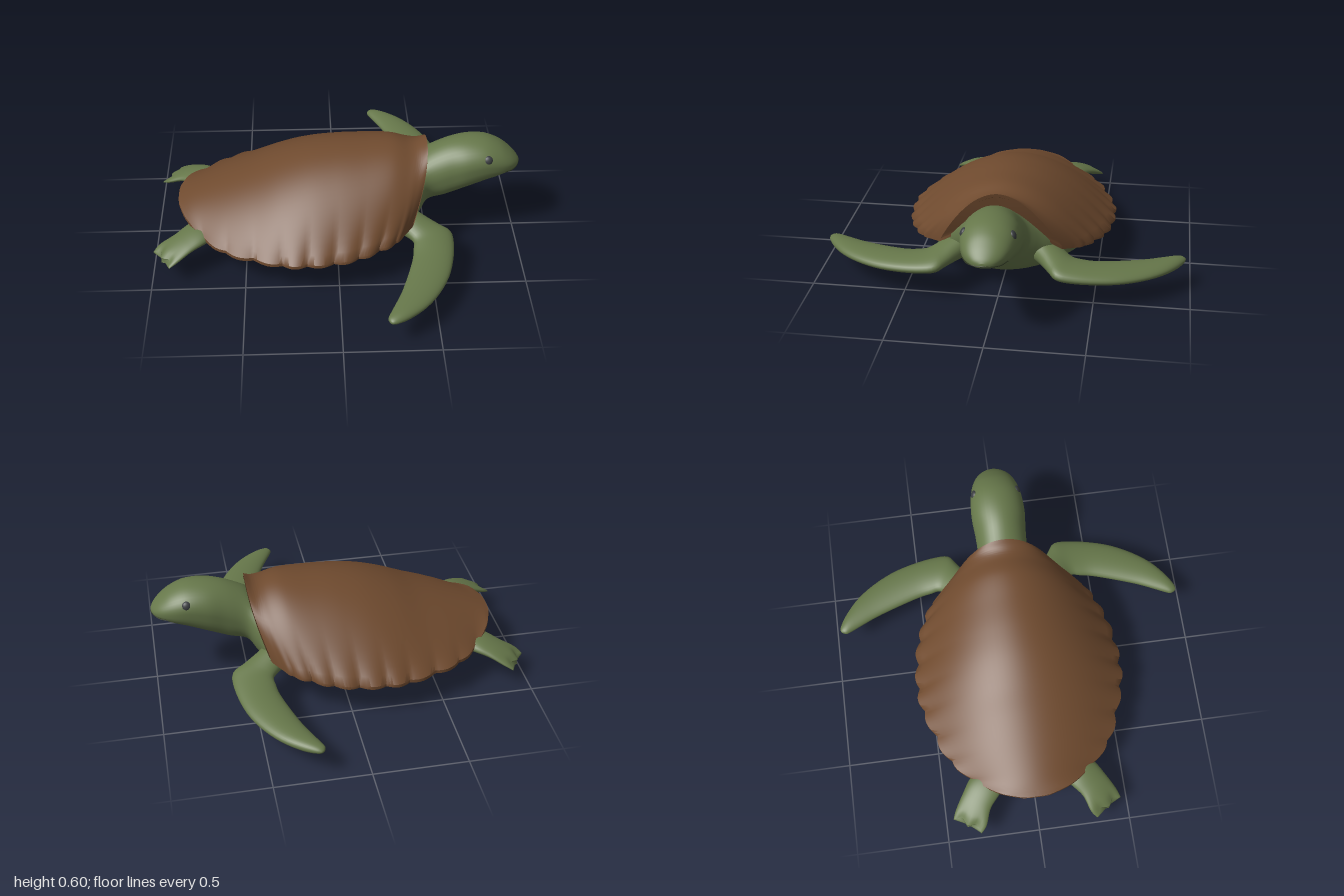
import * as THREE from 'three';
import { toCreasedNormals } from 'three/addons/utils/BufferGeometryUtils.js';

const skin = new THREE.MeshStandardMaterial({ color: 0x66774a });
const shellBrown = new THREE.MeshStandardMaterial({ color: 0x704b2f });
const eyeGrey = new THREE.MeshStandardMaterial({ color: 0x3a3d40 });
const mouthGreen = new THREE.MeshStandardMaterial({ color: 0x2c3520 });
const { smoothstep, lerp, clamp } = THREE.MathUtils;

// Smoothly resample a list of stations, column by column (Catmull-Rom).
function resample(stations, steps) {
  const last = stations.length - 1;
  return Array.from({ length: steps + 1 }, (_, k) => {
    const f = (k / steps) * last;
    const i = Math.min(Math.floor(f), last - 1);
    const t = f - i;
    const [a, b, c, d] = [i - 1, i, i + 1, i + 2].map((j) => stations[clamp(j, 0, last)]);
    return b.map((_, n) => b[n] + 0.5 * t * (c[n] - a[n]
      + t * (2 * a[n] - 5 * b[n] + 4 * c[n] - d[n] + t * (3 * (b[n] - c[n]) + d[n] - a[n]))));
  });
}

// Skin closed rings of points into a capped solid, facing outward.
function loft(rings) {
  const n = rings[0].length;
  const m = rings.length;
  const pts = rings.flat();
  const tris = [];
  for (let i = 0; i < m - 1; i++) {
    for (let j = 0; j < n; j++) {
      const a = i * n + j, b = i * n + (j + 1) % n;
      tris.push([a, b, a + n], [b, b + n, a + n]);
    }
  }
  for (const [row, front] of [[0, false], [m - 1, true]]) {
    const centre = pts.length;
    pts.push(rings[row].reduce((s, p) => s.add(p), new THREE.Vector3()).divideScalar(n));
    for (let j = 0; j < n; j++) {
      const a = row * n + j, b = row * n + (j + 1) % n;
      tris.push(front ? [a, b, centre] : [b, a, centre]);
    }
  }
  const cross = new THREE.Vector3();
  const volume = tris.reduce((s, [a, b, c]) => s + pts[a].dot(cross.crossVectors(pts[b], pts[c])), 0);
  if (volume < 0) tris.forEach((t) => t.reverse());
  const geo = new THREE.BufferGeometry().setFromPoints(pts);
  geo.setIndex(tris.flat());
  geo.computeVertexNormals();
  return geo;
}

// Belly, neck and head: x, bottom, widest height, top, half width.
function bodyGeometry() {
  const stations = [
    [-0.84, 0.2, 0.215, 0.24, 0.07], [-0.8, 0.15, 0.205, 0.24, 0.19],
    [-0.72, 0.105, 0.2, 0.245, 0.3], [-0.6, 0.058, 0.205, 0.26, 0.39],
    [-0.4, 0.02, 0.21, 0.3, 0.46], [-0.2, 0.002, 0.215, 0.36, 0.5],
    [0, 0.012, 0.22, 0.4, 0.49], [0.2, 0.045, 0.235, 0.41, 0.43],
    [0.33, 0.075, 0.25, 0.43, 0.35], [0.4, 0.11, 0.27, 0.46, 0.28],
    [0.45, 0.17, 0.32, 0.49, 0.2], [0.5, 0.235, 0.38, 0.53, 0.145],
    [0.6, 0.275, 0.43, 0.578, 0.142], [0.7, 0.322, 0.47, 0.6, 0.15],
    [0.8, 0.365, 0.49, 0.598, 0.143], [0.88, 0.395, 0.48, 0.57, 0.125],
    [0.94, 0.418, 0.47, 0.527, 0.096], [0.98, 0.432, 0.46, 0.487, 0.055],
    [0.996, 0.446, 0.455, 0.464, 0.015],
  ];
  return loft(resample(stations, 90).map(([x, bottom, mid, top, w]) => {
    // the belly is slightly keeled, the jaw squarer
    const power = lerp(1.1, 0.75, smoothstep(x, 0.4, 0.6));
    return Array.from({ length: 40 }, (_, j) => {
      const a = (j / 40) * Math.PI * 2;
      const s = Math.sin(a), c = Math.cos(a);
      const p = s < 0 ? power : 1;
      return new THREE.Vector3(x,
        mid + (s < 0 ? -(mid - bottom) * (-s) ** p : (top - mid) * s),
        w * Math.sign(c) * Math.abs(c) ** p);
    });
  }));
}

// Domed shell: crown x, crown y, rim x, rim y, rim half width.
function shellGeometry() {
  const stations = [
    [-0.87, 0.265, -0.865, 0.262, 0.08], [-0.83, 0.28, -0.82, 0.25, 0.2],
    [-0.75, 0.31, -0.73, 0.215, 0.31], [-0.6, 0.365, -0.6, 0.2, 0.425],
    [-0.45, 0.42, -0.45, 0.2, 0.49], [-0.3, 0.483, -0.3, 0.2, 0.54],
    [-0.15, 0.53, -0.17, 0.205, 0.555], [0, 0.557, -0.03, 0.21, 0.545],
    [0.15, 0.57, 0.1, 0.22, 0.52], [0.3, 0.578, 0.21, 0.235, 0.475],
    [0.4, 0.56, 0.3, 0.245, 0.43], [0.45, 0.565, 0.35, 0.255, 0.38],
    [0.49, 0.59, 0.4, 0.27, 0.32],
  ];
  const steps = 96, across = 36;
  const rings = resample(stations, steps).map(([cx, cy, rx, ry, rz], k) => {
    const f = k / steps;
    const fade = smoothstep(f, 0.08, 0.25) * (1 - smoothstep(f, 0.75, 0.95));
    const scallop = 0.022 * fade * Math.abs(Math.sin(f * Math.PI * 12));
    const point = (s, drop) => {
      const r = Math.abs(s);
      return new THREE.Vector3(
        lerp(cx, rx, r ** 2.6),
        ry + (cy - ry) * (1 - r ** 1.95) - drop,
        rz * s + Math.sign(s) * scallop * r ** 8);
    };
    const spread = Array.from({ length: across + 1 }, (_, j) => (2 * j) / across - 1);
    return [...spread.map((s) => point(s, 0)), ...spread.reverse().map((s) => point(s, 0.018))];
  });
  return toCreasedNormals(loft(rings), 0.8);
}

// Flat limb: leading edge x z, trailing edge x z, height, half thickness.
function limbGeometry(stations, side, toes = 0) {
  const steps = 36;
  return loft(resample(stations, steps).map(([lx, lz, tx, tz, y, thick], k) => {
    const reach = toes * smoothstep(k / steps, 0.5, 1);
    return Array.from({ length: 32 }, (_, j) => {
      const a = (j / 32) * Math.PI * 2;
      const c = Math.cos(a);
      // three toes spread across the tip
      const push = reach * Math.cos(c * Math.PI * 2);
      return new THREE.Vector3(
        (lx + tx) / 2 + ((lx - tx) / 2) * c - push * 0.8,
        y + thick * Math.sin(a) - push * 0.3,
        side * ((lz + tz) / 2 + ((lz - tz) / 2) * c + push * 0.4));
    });
  }));
}

const frontFlipper = [
  [0.36, 0.08, 0.18, 0.18, 0.25, 0.08], [0.44, 0.185, 0.3, 0.28, 0.225, 0.07],
  [0.545, 0.262, 0.38, 0.355, 0.205, 0.052], [0.605, 0.305, 0.4, 0.39, 0.195, 0.046],
  [0.615, 0.38, 0.395, 0.43, 0.185, 0.043], [0.6, 0.5, 0.385, 0.5, 0.175, 0.04],
  [0.565, 0.63, 0.35, 0.62, 0.167, 0.038], [0.505, 0.75, 0.305, 0.75, 0.162, 0.035],
  [0.43, 0.85, 0.265, 0.84, 0.16, 0.032], [0.345, 0.922, 0.235, 0.905, 0.158, 0.028],
  [0.28, 0.96, 0.225, 0.935, 0.158, 0.018], [0.25, 0.968, 0.235, 0.96, 0.158, 0.006],
];
const rearFlipper = [
  [-0.6, 0.23, -0.72, 0.12, 0.19, 0.05], [-0.7, 0.335, -0.81, 0.19, 0.19, 0.04],
  [-0.78, 0.39, -0.88, 0.25, 0.172, 0.03], [-0.85, 0.435, -0.955, 0.28, 0.138, 0.026],
  [-0.89, 0.452, -0.985, 0.31, 0.115, 0.014],
];

export function createModel() {
  const turtle = new THREE.Group();
  turtle.name = 'seaTurtle';
  const add = (name, geometry, material) => {
    const mesh = new THREE.Mesh(geometry, material);
    mesh.name = name;
    turtle.add(mesh);
    return mesh;
  };

  add('bodyAndHead', bodyGeometry(), skin);
  add('shell', shellGeometry(), shellBrown);

  for (const [label, side] of [['Near', 1], ['Far', -1]]) {
    add(`frontFlipper${label}`, limbGeometry(frontFlipper, side), skin);
    add(`rearFlipper${label}`, limbGeometry(rearFlipper, side, 0.014), skin);
    const eye = add(`eye${label}`, new THREE.SphereGeometry(0.024, 20, 14), eyeGrey);
    eye.position.set(0.81, 0.532, side * 0.122);
    eye.rotation.x = -side * 0.45;
    eye.scale.z = 0.6;
  }

  // Mouth line wrapped round the snout
  const half = [[0.91, 0.444, 0.11], [0.95, 0.44, 0.084], [0.981, 0.445, 0.049]];
  const line = [...half, [0.996, 0.45, 0], ...half.map(([x, y, z]) => [x, y, -z]).reverse()];
  const curve = new THREE.CatmullRomCurve3(line.map((p) => new THREE.Vector3(...p)));
  add('mouth', new THREE.TubeGeometry(curve, 40, 0.003, 6), mouthGreen);

  return turtle;
}
